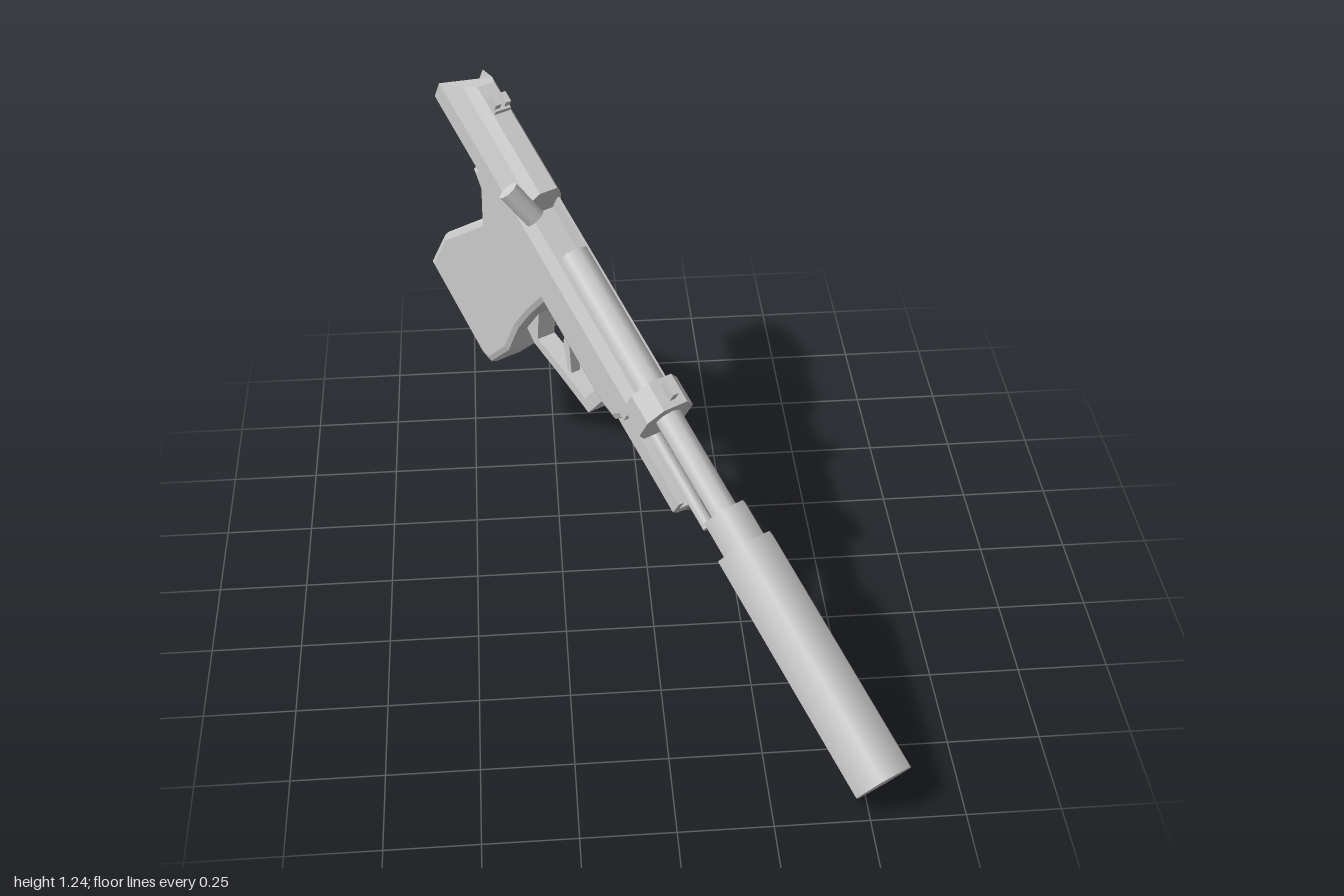
import * as THREE from 'three';

const mat = new THREE.MeshStandardMaterial({ color: 0xcccccc, side: THREE.DoubleSide });

const toShape = (pts) => new THREE.Shape(pts.map(([x, y]) => new THREE.Vector2(x, y)));

function add(parent, name, geo) {
  const mesh = new THREE.Mesh(geo, mat);
  mesh.name = name;
  parent.add(mesh);
  return mesh;
}

// Side outline given as (forward, up), extruded across the width
function sidePlate(parent, name, pts, width, bevel = 0) {
  const geo = new THREE.ExtrudeGeometry(toShape(pts), {
    depth: width - 2 * bevel, bevelEnabled: bevel > 0, bevelSegments: 2,
    bevelSize: bevel, bevelThickness: bevel, bevelOffset: -bevel,
  });
  geo.translate(0, 0, bevel - width / 2).rotateY(-Math.PI / 2);
  return add(parent, name, geo);
}

// Cross-section given as (across, up), extruded along the gun
function along(parent, name, pts, z0, z1) {
  const geo = new THREE.ExtrudeGeometry(toShape(pts), { depth: z1 - z0, bevelEnabled: false });
  geo.translate(0, 0, z0);
  return add(parent, name, geo);
}

// Mirror a half section listed from bottom to top on the +x side
const mirror = (half) => [...half, ...half.map(([x, y]) => [-x, y]).reverse()];

// Six-sided rod lying along the gun, corners pointing sideways
function rod(parent, name, r, y, z0, z1, sides = 6) {
  const geo = new THREE.CylinderGeometry(r, r, z1 - z0, sides);
  geo.rotateY(Math.PI / 2).rotateX(Math.PI / 2).translate(0, y, (z0 + z1) / 2);
  return add(parent, name, geo);
}

function box(parent, name, w, h, d, x, y, z) {
  return add(parent, name, new THREE.BoxGeometry(w, h, d).translate(x, y, z));
}

export function createModel() {
  const model = new THREE.Group();
  model.name = 'model';

  // The gun is built along +z, then aimed forward, down and to its left
  const gun = new THREE.Group();
  gun.name = 'pistol';
  gun.rotation.set(Math.PI / 6, Math.PI / 6, 0, 'YXZ');
  model.add(gun);

  // Barrel and suppressor
  const axis = 0.605;
  rod(gun, 'suppressor', 0.092, axis, 0.19, 0.9);
  rod(gun, 'suppressorCollar', 0.07, axis, 0.08, 0.19);
  rod(gun, 'barrel', 0.04, axis, -0.5, 0.1, 8);
  rod(gun, 'barrelHood', 0.047, axis, -0.77, -0.3, 8);

  // Slide rear, with its top sloping forward at the back
  const rear = along(gun, 'slideRear', mirror([
    [0.073, 0.505], [0.073, 0.57], [0.05, 0.64], [0.028, 0.675],
  ]), -1.43, -0.95);
  const p = rear.geometry.attributes.position;
  for (let i = 0; i < p.count; i++) {
    if (p.getZ(i) < -1.4) p.setZ(i, p.getZ(i) + Math.max(0, p.getY(i) - 0.57) * 1.0);
  }
  rear.geometry.computeVertexNormals();

  // Open slide front: a floor with two chamfered walls
  along(gun, 'slideFront', mirror([
    [0.073, 0.505], [0.073, 0.57], [0.054, 0.612], [0.046, 0.612], [0.046, 0.56],
  ]), -0.95, -0.3);

  // Muzzle ring and sights
  along(gun, 'muzzleRing', mirror([
    [0.045, 0.5], [0.075, 0.545], [0.075, 0.625], [0.038, 0.675],
  ]), -0.32, -0.23);
  box(gun, 'frontSight', 0.018, 0.04, 0.05, 0, 0.69, -0.275);
  box(gun, 'rearSightBase', 0.05, 0.02, 0.05, 0, 0.68, -1.25);
  for (const side of [-1, 1]) {
    box(gun, 'rearSightPost', 0.018, 0.025, 0.035, side * 0.016, 0.698, -1.25);
  }

  // Frame and grip
  sidePlate(gun, 'frame', [
    [-1.18, 0.51], [-1.2, 0.455], [-1.14, 0.43], [-1.09, 0.335], [-1.21, 0.055],
    [-1.22, -0.13], [-0.868, -0.136], [-0.82, -0.115], [-0.776, 0.04], [-0.78, 0.175],
    [-0.765, 0.29], [-0.74, 0.41], [-0.4, 0.41], [-0.33, 0.43], [-0.3, 0.515],
  ], 0.13, 0.022);

  // Dust cover channel with the recoil spring rod inside
  along(gun, 'dustCover', mirror([
    [0.028, 0.415], [0.052, 0.44], [0.052, 0.495], [0.034, 0.495], [0.034, 0.45],
  ]), -0.4, -0.02);
  rod(gun, 'guideRod', 0.02, 0.482, -0.4, 0.07);

  // Trigger guard as a bent strip
  sidePlate(gun, 'triggerGuard', [
    [-0.35, 0.425], [-0.42, 0.365], [-0.44, 0.245], [-0.59, 0.205], [-0.73, 0.163],
    [-0.8, 0.175], [-0.8, 0.3], [-0.768, 0.29], [-0.725, 0.198], [-0.6, 0.238],
    [-0.475, 0.272], [-0.46, 0.365], [-0.5, 0.42],
  ], 0.058);
  sidePlate(gun, 'trigger', [
    [-0.62, 0.42], [-0.625, 0.33], [-0.57, 0.25], [-0.585, 0.238], [-0.645, 0.3],
    [-0.665, 0.35], [-0.67, 0.42],
  ], 0.03);

  // Ejected cartridge case in the air
  const casing = add(model, 'spentCasing', new THREE.CylinderGeometry(0.03, 0.03, 0.108, 8));
  casing.position.set(-0.32, 1.17, -0.18);
  casing.quaternion.setFromUnitVectors(
    new THREE.Vector3(0, 1, 0), new THREE.Vector3(-0.065, 0.08, -0.012).normalize());

  return model;
}
